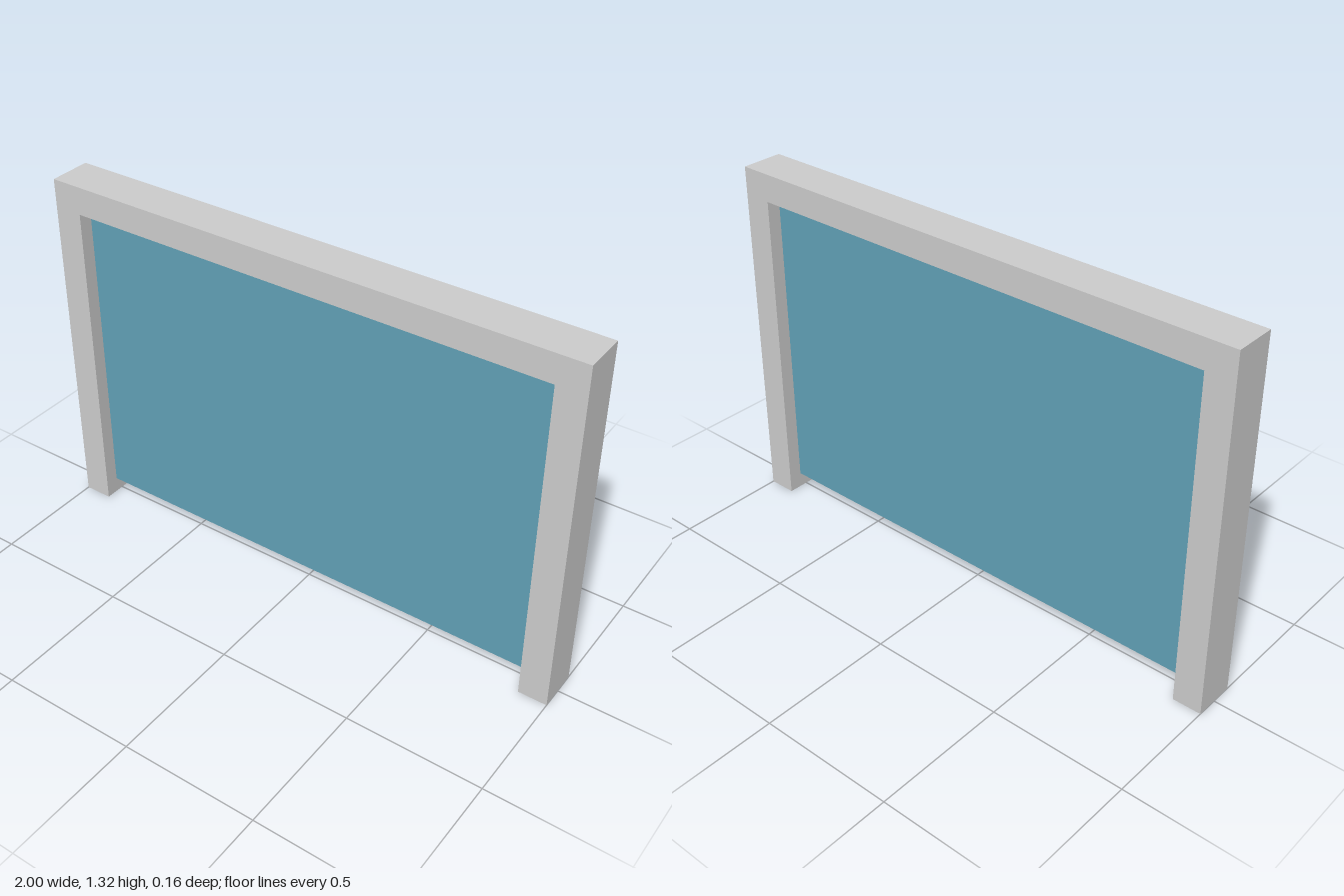
import * as THREE from 'three';

export function createModel() {
  const W = 1, IN = 0.895, H = 1.316, TOP = 1.213, D = 0.157;
  const model = new THREE.Group();
  model.name = 'framedPanel';

  // Upside-down U frame: two posts joined by a top rail
  const outline = new THREE.Shape([
    [-W, 0], [-IN, 0], [-IN, TOP], [IN, TOP], [IN, 0], [W, 0], [W, H], [-W, H],
  ].map(([x, y]) => new THREE.Vector2(x, y)));
  const frameGeo = new THREE.ExtrudeGeometry(outline, { depth: D, bevelEnabled: false });
  frameGeo.translate(0, 0, -D / 2);
  const frame = new THREE.Mesh(frameGeo, new THREE.MeshStandardMaterial({ color: 0xcccccc }));
  frame.name = 'frame';

  // Panel set midway in the frame's depth, stopping short of the ground
  const bottom = 0.058;
  const panel = new THREE.Mesh(
    new THREE.BoxGeometry(IN * 2, TOP - bottom, 0.053),
    new THREE.MeshStandardMaterial({ color: 0x60a0b5 }),
  );
  panel.name = 'panel';
  panel.position.y = (TOP + bottom) / 2;

  model.add(frame, panel);
  return model;
}
